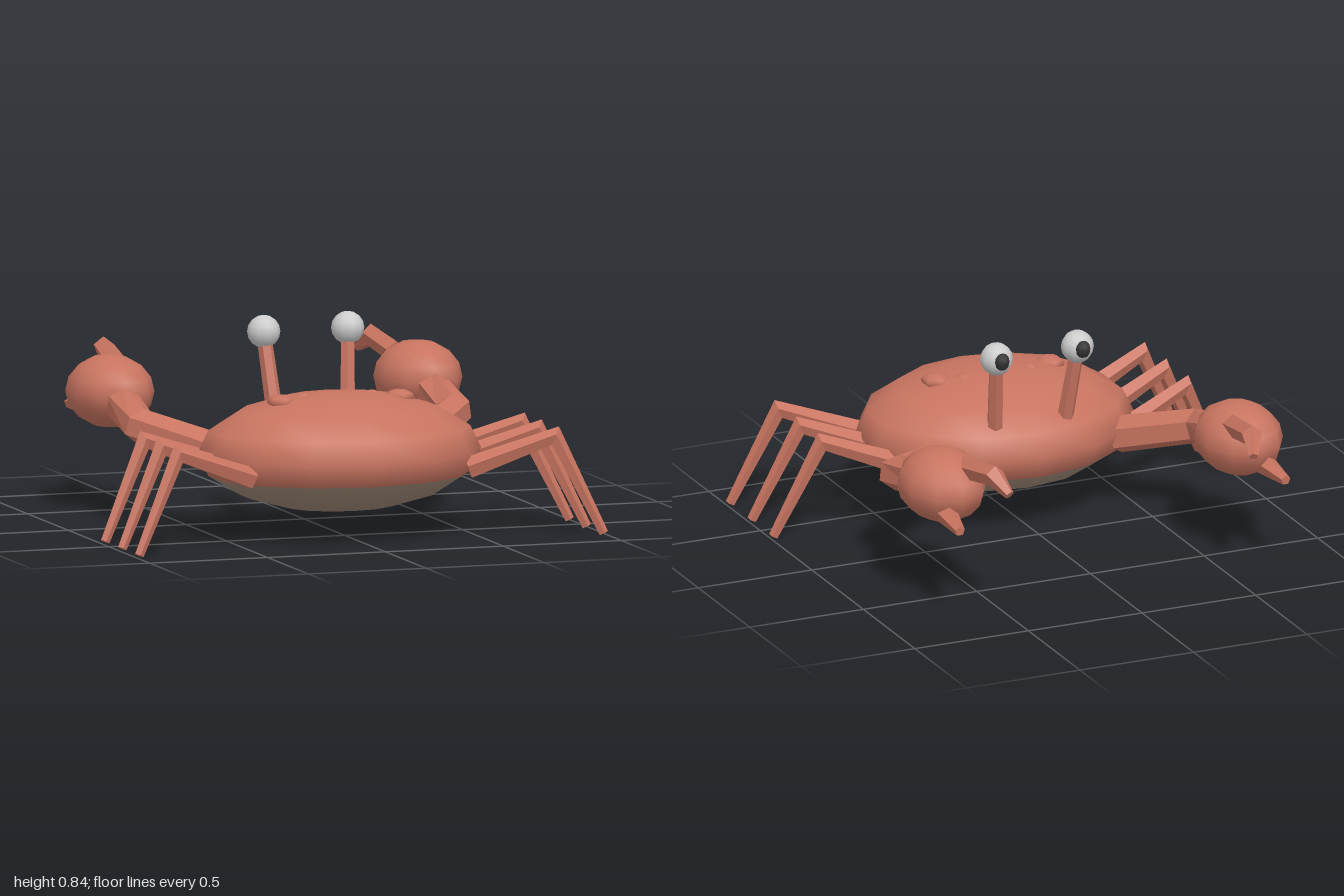
import * as THREE from 'three';

const V = (x, y, z) => new THREE.Vector3(x, y, z);
const paint = (color, flatShading = false) => new THREE.MeshStandardMaterial({ color, flatShading });

// Faceted limb along a bent path, with mitred joints and closed ends
function limbGeometry(path, radii, sides) {
  const pos = [], idx = [];
  const last = path.length - 1;
  const dir = (i) => path[i + 1].clone().sub(path[i]).normalize();
  path.forEach((c, i) => {
    const d = dir(Math.max(i - 1, 0));
    const n = i > 0 && i < last ? d.clone().add(dir(i)).normalize() : d;
    const u = V(0, 1, 0).addScaledVector(d, -d.y).normalize();
    const v = d.clone().cross(u);
    for (let j = 0; j < sides; j++) {
      const a = (j / sides) * Math.PI * 2;
      const p = u.clone().multiplyScalar(Math.cos(a) * radii[i]).addScaledVector(v, Math.sin(a) * radii[i]);
      p.addScaledVector(d, -p.dot(n) / d.dot(n)).add(c);
      pos.push(p.x, p.y, p.z);
    }
  });
  for (let i = 0; i < last; i++) {
    for (let j = 0; j < sides; j++) {
      const k = (j + 1) % sides, a = i * sides, b = a + sides;
      idx.push(a + j, a + k, b + k, a + j, b + k, b + j);
    }
  }
  for (let j = 1; j < sides - 1; j++) {
    const e = last * sides;
    idx.push(0, j + 1, j, e, e + j, e + j + 1);
  }
  const g = new THREE.BufferGeometry();
  g.setAttribute('position', new THREE.Float32BufferAttribute(pos, 3));
  g.setIndex(idx);
  const flat = g.toNonIndexed();
  flat.computeVertexNormals();
  return flat;
}

export function createModel() {
  const model = new THREE.Group();
  model.name = 'crab';
  const red = paint(0xc87460), redFlat = paint(0xc87460, true);
  const bellyMat = paint(0x9c8674), eyeMat = paint(0xcccccc), pupilMat = paint(0x333333);

  const add = (parent, name, geometry, material) => {
    const mesh = new THREE.Mesh(geometry, material);
    mesh.name = name;
    parent.add(mesh);
    return mesh;
  };
  const ball = (parent, name, c, r, segs, rows, material) => {
    const g = new THREE.SphereGeometry(1, segs, rows).rotateY(Math.PI / 2);
    g.scale(...r).translate(...c);
    return add(parent, name, g, material);
  };

  // Body: one ellipsoid split into shell and belly
  const split = (Math.PI * 5) / 8;
  const bodyPart = (name, rows, start, length, material) => {
    const g = new THREE.SphereGeometry(1, 14, rows, 0, Math.PI * 2, start, length).rotateY(Math.PI / 2);
    g.scale(0.58, 0.24, 0.47).translate(0, 0.34, 0.433);
    add(model, name, g, material);
  };
  bodyPart('shell', 5, 0, split, red);
  bodyPart('belly', 3, split, Math.PI - split, bellyMat);

  for (const s of [1, -1]) {
    const side = new THREE.Group();
    side.name = s > 0 ? 'leftSide' : 'rightSide';
    model.add(side);
    const limb = (name, pts, radii, sides) =>
      add(side, name, limbGeometry(pts.map(([x, y, z]) => V(x * s, y, z)), radii, sides), redFlat);

    // Shell bumps
    ball(side, 'largeBump', [0.25 * s, 0.55, 0.45], [0.06, 0.03, 0.066], 6, 6, red);
    ball(side, 'smallBump', [0.145 * s, 0.55, 0.41], [0.04, 0.027, 0.04], 6, 6, red);

    // Eye on a stalk
    limb('eyeStalk', [[0.155, 0.46, 0.085], [0.178, 0.76, 0.022]], [0.034, 0.03], 6);
    ball(side, 'eyeball', [0.178, 0.775, 0.02].map((c, i) => (i ? c : c * s)), [0.067, 0.067, 0.067], 10, 8, eyeMat);
    ball(side, 'pupil', [0.178 * s, 0.78, -0.035], [0.032, 0.036, 0.028], 8, 6, pupilMat);

    // Walking legs
    for (let i = 0; i < 3; i++) {
      const z = i * 0.21;
      limb('leg', [[0.46, 0.28, 0.265 + z], [0.8, 0.405, 0.345 + z], [0.985, 0.012, 0.405 + z]],
        [0.046, 0.032, 0.02], 5);
    }

    // Claw arm, palm and pincers
    limb('clawArm', [[0.42, 0.315, 0.165], [0.665, 0.4, -0.09], [0.655, 0.465, -0.36]], [0.078, 0.072, 0.075], 6);
    ball(side, 'clawPalm', [0.653 * s, 0.488, -0.495], [0.175, 0.148, 0.215], 10, 8, red);
    limb('upperPincer', [[0.59, 0.575, -0.58], [0.567, 0.615, -0.815], [0.537, 0.557, -0.9]],
      [0.046, 0.043, 0.02], 5);
    limb('lowerPincer', [[0.695, 0.425, -0.58], [0.717, 0.4, -0.815]], [0.055, 0.021], 5);
  }
  return model;
}
